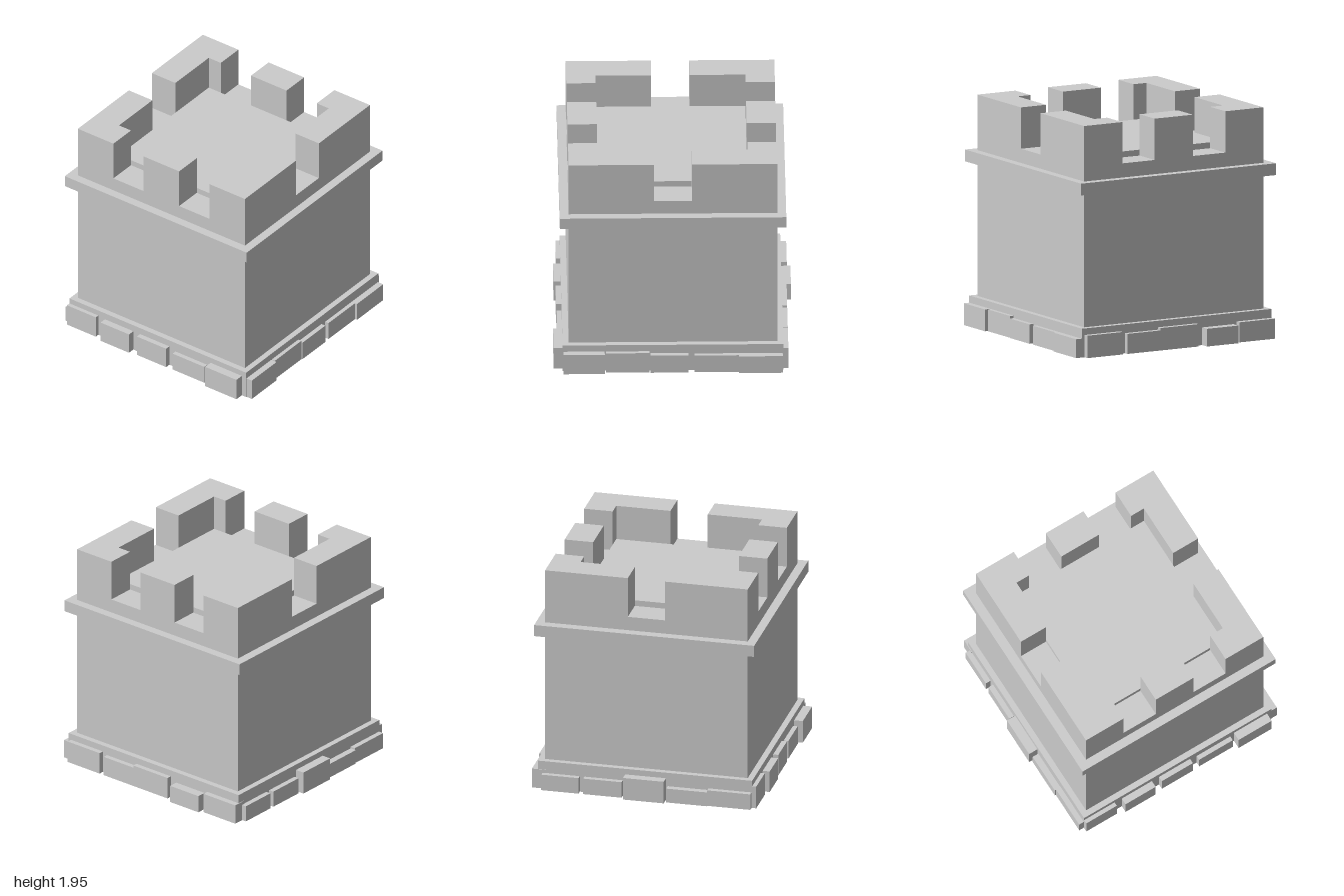
import * as THREE from 'three';

const material = new THREE.MeshStandardMaterial({ color: 0xcccccc, flatShading: true });

// Box given by its limits on each axis
function block(name, [x0, x1], [y0, y1], [z0, z1]) {
  const mesh = new THREE.Mesh(new THREE.BoxGeometry(x1 - x0, y1 - y0, z1 - z0), material);
  mesh.name = name;
  mesh.position.set((x0 + x1) / 2, (y0 + y1) / 2, (z0 + z1) / 2);
  return mesh;
}

// Foundation stones per side: [start, end, height, outer face]
const STONES = {
  front: [[-0.91, -0.61, 0.195, 0.955], [-0.54, -0.245, 0.185, 0.98], [-0.175, 0.13, 0.185, 0.965],
    [0.195, 0.525, 0.16, 0.96], [0.56, 0.885, 0.195, 0.995]],
  back: [[-0.915, -0.57, 0.17, -0.97], [-0.54, -0.235, 0.15, -1], [-0.175, 0.195, 0.19, -0.963],
    [0.195, 0.515, 0.17, -0.963], [0.56, 0.905, 0.19, -0.963]],
  left: [[0.57, 0.915, 0.185, 0.985], [0.195, 0.56, 0.185, 0.963], [-0.13, 0.19, 0.165, 0.97],
    [-0.55, -0.18, 0.16, 0.965], [-0.915, -0.55, 0.16, 0.985]],
  right: [[-0.88, -0.56, 0.14, -0.955], [-0.52, -0.19, 0.14, -0.955], [-0.17, 0.18, 0.195, -0.99],
    [0.195, 0.545, 0.125, -0.965], [0.545, 0.915, 0.14, -0.955]],
};

export function createModel() {
  const tower = new THREE.Group();
  tower.name = 'tower';

  // Stacked body
  tower.add(block('plinth', [-0.91, 0.93], [0, 0.245], [-0.92, 0.92]));
  tower.add(block('walls', [-0.86, 0.88], [0.245, 1.6], [-0.87, 0.87]));
  tower.add(block('stringCourse', [-0.94, 0.955], [1.38, 1.48], [-0.945, 0.945]));
  tower.add(block('roofFloor', [-0.615, 0.635], [1.6, 1.65], [-0.625, 0.625]));

  // Battlements: L-shaped corners and one merlon mid-front and mid-back
  const battlements = new THREE.Group();
  battlements.name = 'battlements';
  const outline = [[0.87, 0.87], [0.87, 0.16], [0.625, 0.16], [0.625, 0.625], [0.5, 0.625], [0.5, 0.87]];
  for (const sx of [-1, 1]) {
    for (const sz of [-1, 1]) {
      // Shape y becomes -z once the extrusion stands upright
      const shape = new THREE.Shape(outline.map(([x, z]) => new THREE.Vector2(0.01 + sx * x, -sz * z)));
      const geometry = new THREE.ExtrudeGeometry(shape, { depth: 0.35, bevelEnabled: false });
      geometry.rotateX(-Math.PI / 2).translate(0, 1.6, 0);
      const corner = new THREE.Mesh(geometry, material);
      corner.name = 'cornerMerlon';
      battlements.add(corner);
    }
  }
  battlements.add(block('frontMerlon', [-0.175, 0.195], [1.6, 1.95], [0.625, 0.87]));
  battlements.add(block('backMerlon', [-0.175, 0.195], [1.6, 1.95], [-0.87, -0.625]));
  tower.add(battlements);

  // Uneven stones around the foot, sunk slightly into the plinth
  for (const [side, stones] of Object.entries(STONES)) {
    const row = new THREE.Group();
    row.name = side + 'Stones';
    for (const [start, end, height, face] of stones) {
      const depth = face > 0 ? [0.85, face] : [face, -0.85];
      const along = [start, end];
      const alongX = side === 'front' || side === 'back';
      row.add(block('stone', alongX ? along : depth, [0, height], alongX ? depth : along));
    }
    tower.add(row);
  }
  return tower;
}
